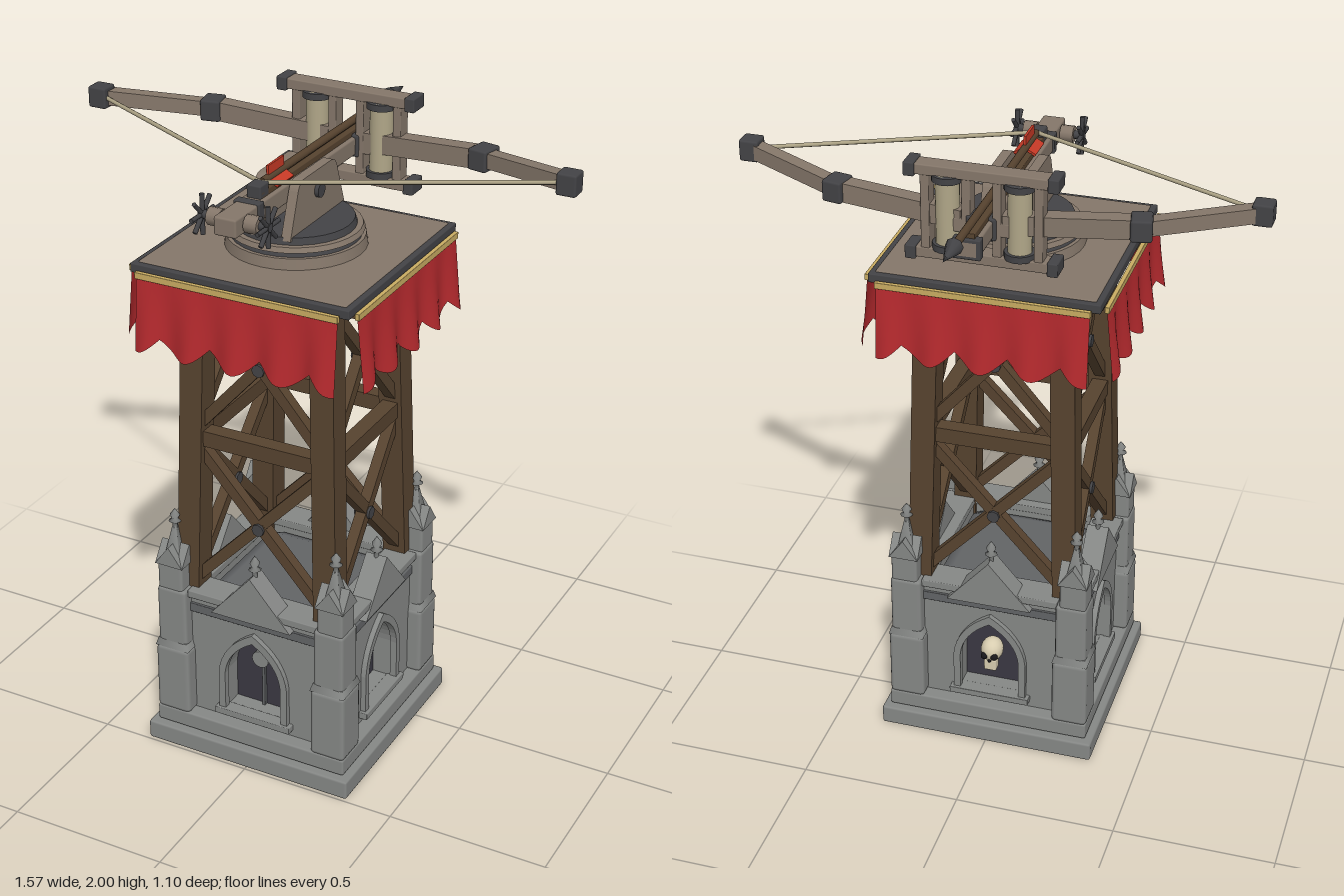
import * as THREE from 'three';
import { RoundedBoxGeometry } from 'three/addons/geometries/RoundedBoxGeometry.js';

const mat = (color, side = THREE.FrontSide) => new THREE.MeshStandardMaterial({ color, side });
const V = (x, y, z) => new THREE.Vector3(x, y, z);

export function createModel() {
  const stone = mat(0x868886), darkStone = mat(0x626466), glass = mat(0x3a3842), bone = mat(0xd8cdb0);
  const wood = mat(0x57432f), paleWood = mat(0x85776a), iron = mat(0x434346);
  const rope = mat(0xb0a688), gold = mat(0xc9ac62), red = mat(0xb3292d, THREE.DoubleSide);
  const black = mat(0x18171a), vaneRed = mat(0xc83a26);

  const add = (parent, name, geo, material, x = 0, y = 0, z = 0) => {
    const m = new THREE.Mesh(geo, material);
    m.name = name;
    m.position.set(x, y, z);
    parent.add(m);
    return m;
  };
  const box = (parent, name, material, w, h, d, x, y, z) =>
    add(parent, name, new RoundedBoxGeometry(w, h, d, 1, Math.min(w, h, d) * 0.12), material, x, y, z);
  const cyl = (parent, name, material, r1, r2, h, x, y, z, n = 20) =>
    add(parent, name, new THREE.CylinderGeometry(r1, r2, h, n), material, x, y, z);
  // Square bar between two points
  const beam = (parent, name, material, a, b, w, h, up = V(0, 1, 0)) => {
    const mid = a.clone().add(b).multiplyScalar(0.5);
    const m = add(parent, name, new THREE.BoxGeometry(w, h, a.distanceTo(b)), material, mid.x, mid.y, mid.z);
    m.quaternion.setFromRotationMatrix(new THREE.Matrix4().lookAt(b, a, up));
    return m;
  };
  // Pointed arch outline
  const arch = (w, y0, spring, apex, Type = THREE.Shape) => {
    const s = new Type();
    s.moveTo(-w, y0);
    s.lineTo(w, y0);
    s.lineTo(w, spring);
    s.quadraticCurveTo(w * 0.92, spring + (apex - spring) * 0.62, 0, apex);
    s.quadraticCurveTo(-w * 0.92, spring + (apex - spring) * 0.62, -w, spring);
    s.closePath();
    return s;
  };
  const extrude = (shape, depth) =>
    new THREE.ExtrudeGeometry(shape, { depth, bevelEnabled: false, curveSegments: 8 });

  const model = new THREE.Group();
  model.name = 'ballistaTower';
  const tower = new THREE.Group();
  tower.name = 'tower';
  tower.position.z = 0.145;
  model.add(tower);

  // Plinth and core
  box(tower, 'plinth', stone, 0.695, 0.063, 0.695, 0, 0.0315, 0);
  box(tower, 'upperPlinth', stone, 0.65, 0.055, 0.65, 0, 0.093, 0);
  box(tower, 'core', darkStone, 0.42, 0.42, 0.42, 0, 0.32, 0);

  const legX = y => 0.235 - 0.028 * (y - 0.5);
  const finial = (parent, y, z, s, x = 0) => {
    const pts = [[0.008, 0], [0.008, 0.3], [0.02, 0.4], [0.008, 0.5], [0.016, 0.68], [0, 1]]
      .map(([r, t]) => new THREE.Vector2(r, t * s));
    add(parent, 'finial', new THREE.LatheGeometry(pts, 8), stone, x, y, z);
  };

  for (let i = 0; i < 4; i++) {
    const side = new THREE.Group();
    side.name = 'towerSide' + (i + 1);
    side.rotation.y = i * Math.PI / 2;
    tower.add(side);

    // Wall with arched niche
    const wall = new THREE.Shape([[-0.25, 0.115], [0.25, 0.115], [0.25, 0.55], [-0.25, 0.55]]
      .map(p => new THREE.Vector2(...p)));
    wall.holes.push(arch(0.1, 0.16, 0.29, 0.43, THREE.Path));
    add(side, 'wall', extrude(wall, 0.075), stone, 0, 0, 0.205);
    add(side, 'nichePanel', new THREE.ShapeGeometry(arch(0.11, 0.15, 0.29, 0.44)), glass, 0, 0, 0.214);
    const frame = arch(0.118, 0.15, 0.29, 0.455);
    frame.holes.push(arch(0.096, 0.16, 0.29, 0.425, THREE.Path));
    add(side, 'windowFrame', extrude(frame, 0.022), stone, 0, 0, 0.275);
    box(side, 'windowSill', stone, 0.26, 0.022, 0.045, 0, 0.152, 0.285);
    if (i === 2) {
      // Skull in the rear niche
      add(side, 'skull', new THREE.SphereGeometry(0.04, 16, 12), bone, 0, 0.31, 0.262).scale.set(0.9, 1, 1);
      box(side, 'jaw', bone, 0.04, 0.04, 0.035, 0, 0.262, 0.272);
      for (const s of [-1, 1])
        add(side, 'eyeSocket', new THREE.SphereGeometry(0.012, 10, 8), black, s * 0.016, 0.302, 0.295);
      add(side, 'noseSocket', new THREE.SphereGeometry(0.006, 8, 6), black, 0, 0.283, 0.293);
    } else {
      box(side, 'mullion', darkStone, 0.01, 0.18, 0.012, 0, 0.25, 0.222);
      cyl(side, 'roundel', stone, 0.028, 0.028, 0.03, 0, 0.34, 0.232).rotation.x = Math.PI / 2;
    }
    // Cornice and gable
    box(side, 'corniceGroove', darkStone, 0.44, 0.03, 0.02, 0, 0.49, 0.278);
    box(side, 'coping', stone, 0.44, 0.025, 0.1, 0, 0.543, 0.25);
    const gable = new THREE.Shape([[-0.135, 0.505], [0.135, 0.505], [0, 0.66]].map(p => new THREE.Vector2(...p)));
    add(side, 'gable', extrude(gable, 0.07), stone, 0, 0, 0.235);
    finial(side, 0.645, 0.27, 0.08);

    // Corner buttress and pinnacle
    const corner = new THREE.Group();
    corner.name = 'cornerPinnacle';
    corner.position.set(0.268, 0, 0.268);
    side.add(corner);
    box(corner, 'buttress', stone, 0.115, 0.23, 0.115, 0, 0.23, 0);
    const slope = cyl(corner, 'buttressSlope', stone, 0.07, 0.08, 0.025, 0, 0.355, 0, 4);
    slope.rotation.y = Math.PI / 4;
    box(corner, 'buttressUpper', stone, 0.1, 0.21, 0.1, 0, 0.45, 0);
    box(corner, 'pinnacleShaft', stone, 0.085, 0.1, 0.085, 0.004, 0.595, 0.004);
    const peak = new THREE.Shape([[-0.047, 0], [0.047, 0], [0, 0.065]].map(p => new THREE.Vector2(...p)));
    for (let k = 0; k < 2; k++) {
      const g = extrude(peak, 0.094);
      g.translate(0, 0, -0.047);
      add(corner, 'pinnacleGable', g, stone, 0.004, 0.635, 0.004).rotation.y = k * Math.PI / 2;
    }
    cyl(corner, 'spire', stone, 0.005, 0.038, 0.12, 0.004, 0.71, 0.004, 4).rotation.y = Math.PI / 4;
    finial(corner, 0.745, 0.004, 0.07, 0.004);

    // Leg and cross bracing
    const p = (s, y) => V(s * legX(y), y, legX(y));
    beam(side, 'leg', wood, p(1, 0.48), p(1, 1.6), 0.075, 0.075, V(0, 0, 1));
    beam(side, 'crossbar', wood, p(-1, 1.06), p(1, 1.06), 0.05, 0.05);
    for (const [y0, y1] of [[0.56, 1.04], [1.08, 1.56]]) {
      for (const s of [-1, 1])
        beam(side, 'brace', wood, p(-s, y0), p(s, y1), 0.034, 0.034, V(0, 0, 1));
      const y = (y0 + y1) / 2;
      cyl(side, 'braceBolt', iron, 0.02, 0.02, 0.05, 0, y, legX(y), 8).rotation.x = Math.PI / 2;
    }

    // Hanging cloth with dagged, rippling hem
    const cloth = new THREE.PlaneGeometry(0.635, 1, 48, 6);
    const pos = cloth.attributes.position;
    for (let k = 0; k < pos.count; k++) {
      const u = pos.getX(k) / 0.635 + 0.5, v = 0.5 - pos.getY(k);
      const drop = 0.18 + 0.05 * Math.abs(Math.cos(4 * Math.PI * u));
      pos.setY(k, 1.605 - v * drop);
      pos.setZ(k, 0.356 + v * (0.022 + 0.014 * Math.sin(9 * Math.PI * u)));
    }
    cloth.computeVertexNormals();
    add(side, 'banner', cloth, red);
    box(side, 'bannerTrim', gold, 0.64, 0.02, 0.014, 0, 1.603, 0.357);
  }

  // Platform and joists
  box(tower, 'platformRim', iron, 0.69, 0.028, 0.69, 0, 1.615, 0);
  box(tower, 'platformDeck', paleWood, 0.655, 0.03, 0.655, 0, 1.618, 0);
  for (const s of [-1, 1]) {
    box(tower, 'upperJoist', wood, 0.65, 0.05, 0.06, 0, 1.575, s * 0.205);
    box(tower, 'lowerJoist', wood, 0.06, 0.05, 0.65, s * 0.205, 1.525, 0);
  }

  // Turntable
  [[0.207, 1.63, 0.035], [0.19, 1.665, 0.015], [0.198, 1.68, 0.015], [0.175, 1.695, 0.02]].forEach(([r, y, h], k) =>
    cyl(tower, 'turntable', k % 2 ? iron : paleWood, r - 0.006, r, h, 0, y + h / 2, 0, 32));

  // Mount cheeks with pivot
  const weapon = new THREE.Group();
  weapon.name = 'ballista';
  model.add(weapon);
  const cheek = new THREE.Shape();
  cheek.moveTo(-0.165, 1.705);
  cheek.lineTo(0.165, 1.705);
  cheek.lineTo(0.12, 1.83);
  cheek.quadraticCurveTo(0.11, 1.865, 0.08, 1.865);
  cheek.lineTo(-0.08, 1.865);
  cheek.quadraticCurveTo(-0.11, 1.865, -0.12, 1.83);
  for (const s of [-1, 1]) {
    const g = extrude(cheek, 0.03);
    g.translate(0, 0, -0.015);
    add(weapon, 'mountCheek', g, paleWood, s * 0.055, 0, 0.145).rotation.y = Math.PI / 2;
  }
  cyl(weapon, 'pivot', iron, 0.022, 0.022, 0.165, 0, 1.805, 0.145, 12).rotation.z = Math.PI / 2;

  // Stock and slide
  box(weapon, 'stock', paleWood, 0.07, 0.055, 0.9, 0, 1.825, 0.1);
  box(weapon, 'slide', wood, 0.045, 0.02, 0.72, 0, 1.86, 0.02);
  for (const z of [-0.335, 0.415]) box(weapon, 'stockBand', iron, 0.082, 0.062, 0.03, 0, 1.825, z);
  box(weapon, 'stringCatch', iron, 0.045, 0.04, 0.05, 0, 1.87, 0.365);

  // Bolt
  cyl(weapon, 'boltShaft', wood, 0.012, 0.012, 0.8, 0, 1.883, -0.06, 10).rotation.x = Math.PI / 2;
  cyl(weapon, 'boltHead', iron, 0, 0.026, 0.1, 0, 1.883, -0.5, 8).rotation.x = -Math.PI / 2;
  for (let k = 0; k < 3; k++) {
    const vane = new THREE.Group();
    vane.name = 'fletching';
    vane.position.set(0, 1.883, 0.265);
    vane.rotation.z = Math.PI / 2 + k * Math.PI * 2 / 3;
    weapon.add(vane);
    box(vane, 'vane', vaneRed, 0.036, 0.008, 0.09, 0.02, 0, 0);
  }

  // Winch with spoked handles
  cyl(weapon, 'winchAxle', iron, 0.013, 0.013, 0.22, 0, 1.825, 0.492, 10).rotation.z = Math.PI / 2;
  for (const s of [-1, 1]) {
    cyl(weapon, 'winchDrum', paleWood, 0.026, 0.026, 0.04, s * 0.058, 1.825, 0.492, 12).rotation.z = Math.PI / 2;
    for (let k = 0; k < 4; k++)
      cyl(weapon, 'winchSpoke', iron, 0.007, 0.007, 0.12, s * 0.102, 1.825, 0.492, 6).rotation.x = k * Math.PI / 4;
  }

  // Torsion frame
  const fz = -0.185;
  for (const y of [1.727, 1.98]) {
    box(weapon, 'frameBeam', paleWood, 0.42, 0.032, 0.055, 0, y, fz);
    for (const s of [-1, 1]) {
      box(weapon, 'frameCap', iron, 0.032, 0.042, 0.07, s * 0.208, y, fz);
      cyl(weapon, 'bundleWasher', iron, 0.045, 0.045, 0.02, s * 0.105, y + (y > 1.8 ? -0.022 : 0.022), fz);
    }
  }
  box(weapon, 'frameTie', paleWood, 0.22, 0.045, 0.05, 0, 1.825, fz);
  box(weapon, 'frameClamp', iron, 0.09, 0.07, 0.06, 0, 1.825, fz);

  for (const s of [-1, 1]) {
    cyl(weapon, 'ropeBundle', rope, 0.035, 0.035, 0.23, s * 0.105, 1.853, fz);
    for (const x of [0.045, 0.165])
      box(weapon, 'framePost', paleWood, 0.026, 0.24, 0.05, s * x, 1.853, fz);
    // Bow arm and string
    const root = V(s * 0.06, 1.84, fz), joint = V(s * 0.443, 1.865, -0.155), tip = V(s * 0.755, 1.893, -0.025);
    beam(weapon, 'bowArmInner', paleWood, root, joint, 0.05, 0.058);
    beam(weapon, 'bowArmOuter', paleWood, joint, tip, 0.042, 0.045);
    box(weapon, 'armJoint', iron, 0.062, 0.066, 0.075, joint.x, joint.y, joint.z).rotation.y = s * -0.2;
    box(weapon, 'armTip', iron, 0.06, 0.066, 0.06, tip.x, tip.y, tip.z);
    add(weapon, 'bowString', new THREE.TubeGeometry(
      new THREE.LineCurve3(tip, V(0, 1.883, 0.345)), 1, 0.007, 6), rope);
  }
  return model;
}
